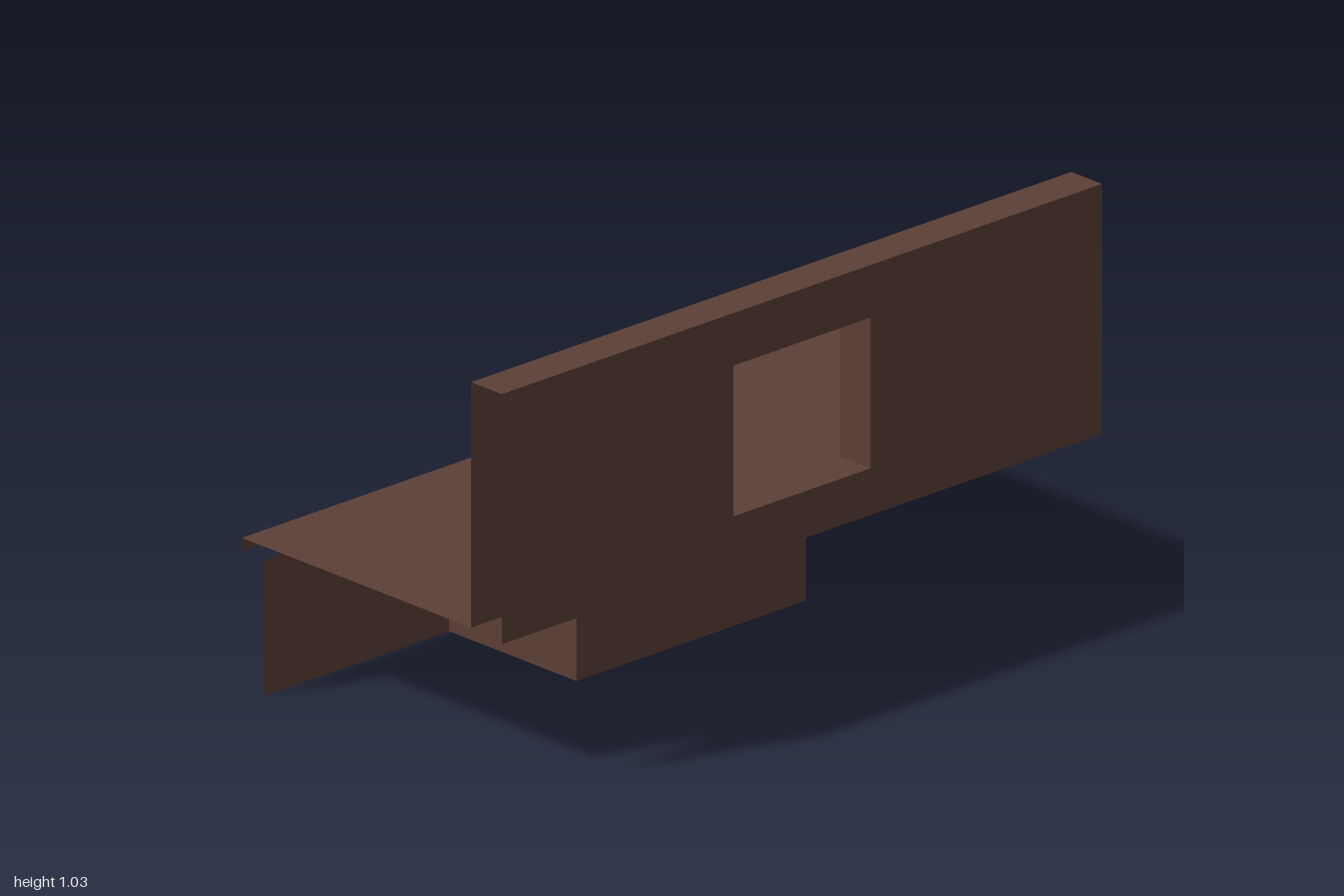
import * as THREE from 'three';

export function createModel() {
  const group = new THREE.Group();
  const brown = new THREE.MeshStandardMaterial({ color: 0x5d4037, side: THREE.DoubleSide });
  brown.name = 'dark brown';

  const add = (name, geometry) => {
    const mesh = new THREE.Mesh(geometry, brown);
    mesh.name = name;
    group.add(mesh);
    return mesh;
  };

  // Flat panels, each facing along one axis (dir is +1 or -1)
  const panelX = (name, x, y0, y1, z0, z1, dir) =>
    add(name, new THREE.PlaneGeometry(z1 - z0, y1 - y0).rotateY(dir * Math.PI / 2)
      .translate(x, (y0 + y1) / 2, (z0 + z1) / 2));
  const panelY = (name, y, x0, x1, z0, z1, dir) =>
    add(name, new THREE.PlaneGeometry(x1 - x0, z1 - z0).rotateX(-dir * Math.PI / 2)
      .translate((x0 + x1) / 2, y, (z0 + z1) / 2));
  const panelZ = (name, z, x0, x1, y0, y1, dir) =>
    add(name, new THREE.PlaneGeometry(x1 - x0, y1 - y0).rotateY(dir > 0 ? 0 : Math.PI)
      .translate((x0 + x1) / 2, (y0 + y1) / 2, z));

  const W = 1, top = 1.03, deck = 0.39, under = 0.355;
  const wallBack = 0.35, wallFront = 0.458;
  const win = { x: 0.228, y0: 0.5, y1: 0.893 };

  // Hollow wall, open at its ends and underside, with a window through both skins
  const wallSkin = (name, z, bottom, dir) => {
    const shape = new THREE.Shape();
    shape.moveTo(-W, bottom).lineTo(W, bottom).lineTo(W, top).lineTo(-W, top).closePath();
    const hole = new THREE.Path();
    hole.moveTo(-win.x, win.y0).lineTo(-win.x, win.y1).lineTo(win.x, win.y1).lineTo(win.x, win.y0).closePath();
    shape.holes.push(hole);
    const geometry = new THREE.ShapeGeometry(shape);
    if (dir < 0) geometry.rotateY(Math.PI);
    add(name, geometry.translate(0, 0, z));
  };
  wallSkin('wallFront', wallFront, 0.378, 1);
  wallSkin('wallBack', wallBack, deck, -1);
  panelY('wallTop', top, -W, W, wallBack, wallFront, 1);

  // Window lining and sill
  for (const s of [-1, 1]) panelX('windowJamb', s * win.x, win.y0, win.y1, wallBack, wallFront, -s);
  panelY('windowHead', win.y1, -win.x, win.x, wallBack, wallFront, -1);
  panelY('windowBase', win.y0, -win.x, win.x, wallBack, wallFront, 1);
  add('windowSill', new THREE.BoxGeometry(2 * win.x, 0.026, 0.017).translate(0, 0.487, 0.3415));

  // Counter top with a lip along the back edge
  panelY('counterTop', deck, -W, W, -0.458, wallBack, 1);
  panelZ('counterLip', -0.458, -W, W, under, deck, -1);

  // Base panels around the central knee recess
  const recess = 0.383, baseBack = -0.38, recessFront = 0.068;
  for (const s of [-1, 1]) {
    panelZ('basePanel', baseBack, s < 0 ? -W : recess, s < 0 ? -recess : W, 0, under, -1);
    panelX('recessSide', s * recess, 0, under, baseBack, recessFront, -s);
  }
  panelZ('recessPanel', recessFront, -recess, recess, 0, under, -1);

  return group;
}
